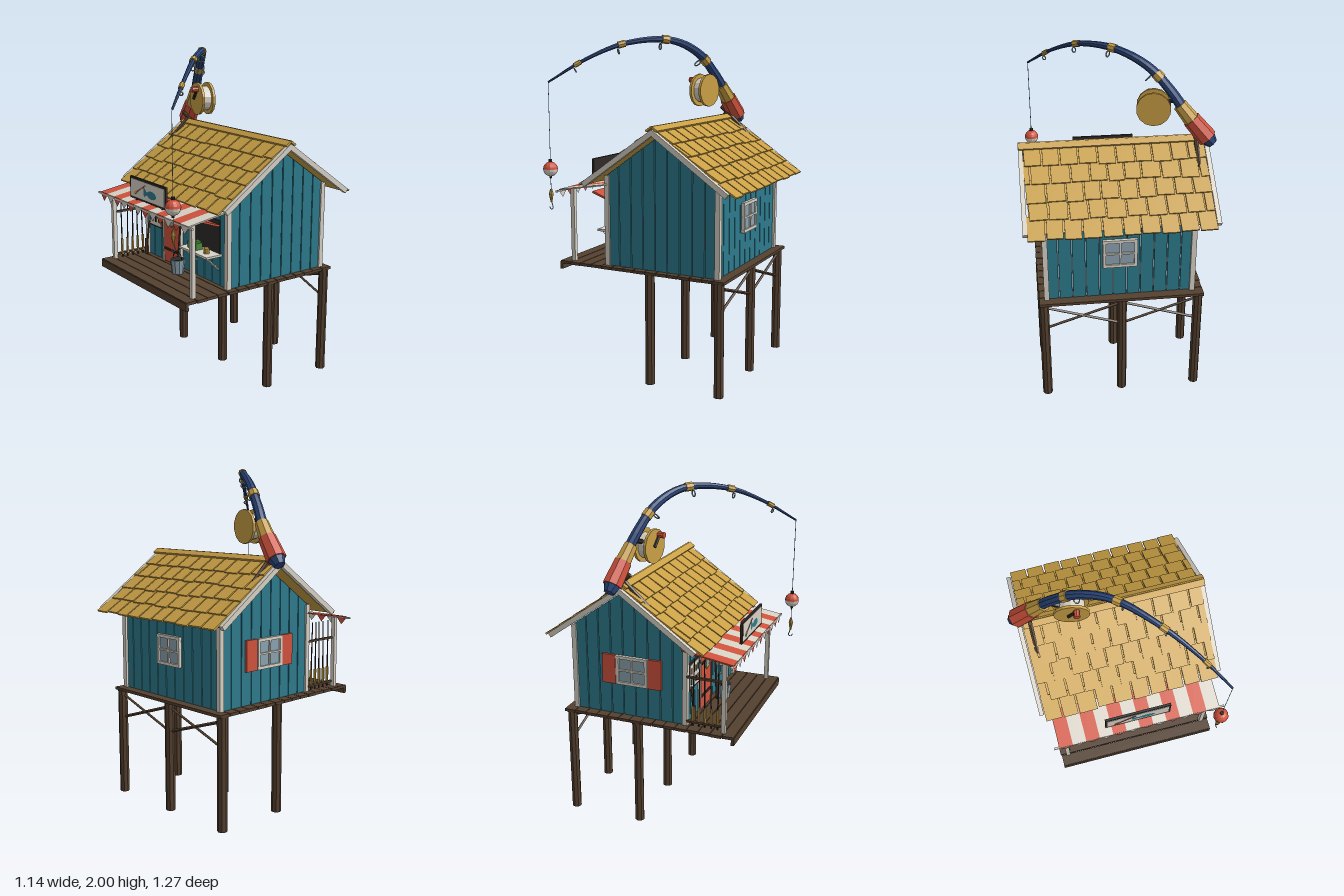
import * as THREE from 'three';

const V = (x, y, z) => new THREE.Vector3(x, y, z);
const paint = (name, hex) => {
  const m = new THREE.MeshStandardMaterial({ color: hex });
  m.name = name;
  return m;
};

export function createModel() {
  const root = new THREE.Group();
  root.name = 'fishingCabin';
  const brown = paint('darkTimber', 0x54402f), teal = paint('tealBoards', 0x2d7a8c);
  const gold = paint('goldenWood', 0xc89f45), red = paint('red', 0xd0523c);
  const white = paint('offWhite', 0xd8d2c6), navy = paint('navyRod', 0x2b4679);
  const slate = paint('paleSlate', 0x8ba3b0), black = paint('charcoal', 0x2e2a27);
  const green = paint('green', 0x4c8a3c);
  white.side = red.side = THREE.DoubleSide;

  let seed = 7;
  const rnd = () => ((seed = (seed * 16807) % 2147483647) / 2147483647) - 0.5;
  const flat = (geo) => {
    const g = geo.index ? geo.toNonIndexed() : geo;
    g.computeVertexNormals();
    return g;
  };
  const add = (name, geo, mat, x = 0, y = 0, z = 0, parent = root) => {
    const m = new THREE.Mesh(geo, mat);
    m.name = name;
    m.position.set(x, y, z);
    parent.add(m);
    return m;
  };
  const box = (name, mat, w, h, d, x, y, z, parent) =>
    add(name, new THREE.BoxGeometry(w, h, d), mat, x, y, z, parent);
  // Round bar from a to b
  const bar = (name, mat, a, b, r, r2 = r, sides = 8, parent = root) => {
    const d = b.clone().sub(a);
    const c = a.clone().add(b).multiplyScalar(0.5);
    const m = add(name, flat(new THREE.CylinderGeometry(r2, r, d.length(), sides)), mat, c.x, c.y, c.z, parent);
    m.quaternion.setFromUnitVectors(V(0, 1, 0), d.normalize());
    return m;
  };
  const poly = (pts) => new THREE.Shape(pts.map((p) => new THREE.Vector2(...p)));
  const slab = (pts, depth) => new THREE.ExtrudeGeometry(poly(pts), { depth, bevelEnabled: false });

  // Stilts and cross braces
  const stiltX = [-0.44, 0.01, 0.465];
  for (const z of [-0.085, -0.52])
    for (const x of stiltX) bar('stilt', brown, V(x, 0, z), V(x, 0.66, z), 0.029, 0.029, 8);
  for (let i = 0; i < 2; i++)
    for (const [y0, y1] of [[0.48, 0.63], [0.63, 0.48]])
      bar('crossBrace', brown, V(stiltX[i], y0, -0.52), V(stiltX[i + 1], y1, -0.52), 0.009, 0.009, 4);

  // Deck
  for (let i = 0; i < 15; i++)
    box('deckPlank', brown, 0.96 + rnd() * 0.012, 0.017, 0.067, 0.01, 0.666, 0.478 - i * 0.0715);
  box('deckFascia', brown, 0.955, 0.045, 0.018, 0.01, 0.646, 0.506);

  // Cabin core and boarded walls
  const ridgeZ = -0.15, slope = 0.705, pitch = Math.atan(slope), cx = 0.02;
  const topAt = (z) => 1.455 - Math.abs(z - ridgeZ) * slope;
  const core = add('cabinCore', slab([[0.49, 0.675], [0.49, topAt(-0.49)], [0.15, 1.455], [-0.19, topAt(0.19)], [-0.19, 0.675]], 0.84), slate, -0.4, 0, 0);
  core.rotation.y = Math.PI / 2;
  const boards = (name, u0, u1, n, top, x, z, ry) => {
    const g = new THREE.Group();
    g.name = name;
    g.position.set(x, 0, z);
    g.rotation.y = ry;
    const w = (u1 - u0) / n;
    for (let i = 0; i < n; i++) {
      const a = u0 + i * w + 0.003, b = a + w - 0.006, m = (a + b) / 2;
      add('board', slab([[a, 0.675], [b, 0.675], [b, top(b)], [m, top(m)], [a, top(a)]], 0.012), teal, 0, 0, 0, g);
    }
    root.add(g);
  };
  boards('rightGable', -0.2, 0.5, 9, (u) => topAt(-u), 0.438, 0, Math.PI / 2);
  boards('leftGable', -0.5, 0.2, 9, topAt, -0.398, 0, -Math.PI / 2);
  boards('frontWall', -0.41, 0.45, 11, () => 1.2, 0, 0.188, 0);
  boards('backWall', -0.45, 0.41, 11, () => 1.2, 0, -0.488, Math.PI);
  for (const x of [-0.405, 0.445])
    for (const z of [0.2, -0.5]) box('cornerTrim', white, 0.03, 0.53, 0.03, x, 0.94, z);

  // Shingled roof, two slopes
  for (const side of [0, 1]) {
    const g = new THREE.Group();
    g.name = side ? 'backRoof' : 'frontRoof';
    g.position.set(0, 1.49, ridgeZ);
    g.rotation.set(pitch, side * Math.PI, 0, 'YXZ');
    root.add(g);
    const dir = side ? -1 : 1;
    box('roofSheet', gold, 1.02, 0.008, 0.54, dir * 0.015, -0.018, 0.275, g);
    for (let r = 0; r < 5; r++) {
      let x = -0.51;
      let w = r % 2 ? 0.055 : 0.105;
      while (x < 0.52) {
        w = Math.min(w, 0.54 - x);
        const s = box('shingle', gold, w - 0.009, 0.011, 0.15, dir * (x + w / 2), 0.002, 0.068 + r * 0.112 + rnd() * 0.014, g);
        s.rotation.set(-0.07, rnd() * 0.05, 0);
        x += w;
        w = 0.105 + rnd() * 0.02;
      }
    }
    for (const x of [-0.522, 0.548]) box('bargeBoard', white, 0.026, 0.03, 0.555, dir * x, -0.012, 0.278, g);
    box('ridgeCap', gold, 1.06, 0.012, 0.04, dir * 0.03, 0.014, 0.012, g);
  }

  // Windows: back, and left side with shutters
  const windowUnit = (name, x, y, z, ry, shutters) => {
    const g = new THREE.Group();
    g.name = name;
    g.position.set(x, y, z);
    g.rotation.y = ry;
    root.add(g);
    box('glass', slate, 0.18, 0.16, 0.008, 0, 0, 0, g);
    for (const s of [-1, 0, 1]) {
      const t = s ? 0.018 : 0.01;
      box('windowUpright', white, t, 0.17, 0.02, s * 0.09, 0, 0.004, g);
      box('windowRail', white, 0.2, t, 0.02, 0, s * 0.08, 0.004, g);
      if (s && shutters) box('shutter', red, 0.085, 0.18, 0.014, s * 0.145, 0, 0.004, g);
    }
  };
  windowUnit('backWindow', 0.02, 0.96, -0.505, Math.PI, false);
  windowUnit('leftWindow', -0.415, 0.96, -0.13, -Math.PI / 2, true);

  // Door
  box('door', red, 0.17, 0.385, 0.016, -0.11, 0.873, 0.208);
  for (const x of [-0.203, -0.017]) box('doorTrim', white, 0.015, 0.4, 0.022, x, 0.877, 0.208);
  for (const y of [0.765, 0.975]) box('hingeStrap', black, 0.15, 0.013, 0.008, -0.115, y, 0.219);
  const port = add('porthole', flat(new THREE.CylinderGeometry(0.028, 0.028, 0.008, 12)), slate, -0.105, 0.95, 0.222);
  port.rotation.x = Math.PI / 2;
  add('portholeRim', new THREE.TorusGeometry(0.029, 0.005, 6, 14), gold, -0.105, 0.95, 0.223);

  // Serving hatch with raised flap, counter and goods
  box('hatchOpening', black, 0.24, 0.2, 0.008, 0.255, 0.965, 0.203);
  const flap = box('hatchFlap', red, 0.24, 0.012, 0.15, 0.255, 1.06, 0.28);
  flap.rotation.x = -0.35;
  box('counter', white, 0.28, 0.013, 0.11, 0.25, 0.862, 0.255);
  for (const x of [0.14, 0.36]) bar('counterBrace', white, V(x, 0.77, 0.203), V(x, 0.858, 0.295), 0.006, 0.006, 4);
  box('tackleBox', green, 0.085, 0.04, 0.045, 0.205, 0.889, 0.26);
  box('tackleLid', green, 0.07, 0.012, 0.035, 0.205, 0.915, 0.26);
  add('tackleHandle', new THREE.TorusGeometry(0.014, 0.003, 5, 10, Math.PI), black, 0.205, 0.92, 0.26);
  bar('baitTin', gold, V(0.32, 0.868, 0.26), V(0.32, 0.9, 0.26), 0.018);

  // Lure board
  box('lureBoardFrame', black, 0.165, 0.165, 0.012, -0.305, 0.957, 0.208);
  box('lureBoard', white, 0.145, 0.145, 0.008, -0.305, 0.957, 0.213);
  for (let i = 0; i < 8; i++)
    box('lure', [red, teal, gold, black][(i * 3 + (i >> 2)) % 4], 0.01, 0.034, 0.006, -0.356 + (i % 4) * 0.034, 0.99 - (i >> 2) * 0.065, 0.219);

  // Landing net, bucket, oar
  add('netHoop', new THREE.TorusGeometry(0.048, 0.006, 6, 18), black, 0.015, 1.03, 0.23);
  bar('netHandle', brown, V(0.012, 0.985, 0.23), V(0, 0.68, 0.25), 0.007, 0.007, 6);
  bar('bucket', slate, V(0.05, 0.677, 0.28), V(0.05, 0.765, 0.28), 0.035, 0.046, 10);
  bar('bucketWater', black, V(0.05, 0.764, 0.28), V(0.05, 0.767, 0.28), 0.04, 0.04, 10);
  add('bucketHandle', new THREE.TorusGeometry(0.045, 0.003, 5, 12, Math.PI), black, 0.05, 0.768, 0.28);
  bar('oarShaft', brown, V(-0.37, 0.72, 0.24), V(-0.365, 0.9, 0.22), 0.007, 0.007, 6);
  box('oarBlade', brown, 0.03, 0.1, 0.01, -0.37, 0.73, 0.24);

  // Porch posts and rod rack
  for (const x of [-0.425, 0.443]) box('porchPost', white, 0.025, 0.435, 0.025, x, 0.89, 0.44);
  for (const y of [0.705, 0.98]) box('rackRail', brown, 0.016, 0.012, 0.22, -0.415, y, 0.32);
  for (let i = 0; i < 5; i++) {
    const z = 0.245 + i * 0.038;
    bar('rackRod', black, V(-0.41, 0.68, z), V(-0.41, 1.09, z + rnd() * 0.02), 0.005, 0.003, 5);
    bar('rackRodGrip', gold, V(-0.41, 0.7, z), V(-0.41, 0.8, z), 0.009, 0.008, 6);
  }

  // Striped awning with pointed valance
  const awning = new THREE.Group();
  awning.name = 'awning';
  root.add(awning);
  const sw = 0.97 / 12;
  for (let i = 0; i < 12; i++) {
    const x = -0.47 + sw * (i + 0.5), m = i % 2 ? white : red;
    const s = box('awningStripe', m, sw, 0.008, 0.31, x, 1.13, 0.35, awning);
    s.rotation.x = 0.16;
    add('valancePoint', new THREE.ShapeGeometry(poly([[-sw / 2, 0], [0, -0.045], [sw / 2, 0]])), m, x, 1.1, 0.503, awning);
  }
  box('awningRail', white, 1.03, 0.01, 0.012, 0.015, 1.1, 0.499, awning);

  // Fish sign
  const sign = new THREE.Group();
  sign.name = 'fishSign';
  sign.position.set(0.013, 1.193, 0.452);
  root.add(sign);
  box('signFrame', black, 0.39, 0.13, 0.014, 0, 0, 0, sign);
  box('signPanel', white, 0.365, 0.106, 0.008, 0, 0, 0.005, sign);
  for (const x of [-0.14, 0.14]) box('signBracket', black, 0.012, 0.06, 0.02, x, -0.05, -0.012, sign);
  const fish = add('paintedFish', new THREE.CircleGeometry(0.05, 16), teal, 0.05, -0.01, 0.0105, sign);
  fish.scale.set(1, 0.48, 1);
  add('paintedTail', new THREE.ShapeGeometry(poly([[0.012, -0.008], [-0.04, 0.036], [-0.034, -0.03]])), teal, 0, -0.004, 0.0107, sign);
  const pole = box('paintedPole', red, 0.13, 0.006, 0.003, -0.075, 0.005, 0.011, sign);
  pole.rotation.z = 0.5;
  box('paintedGrip', gold, 0.03, 0.014, 0.004, -0.125, -0.023, 0.011, sign).rotation.z = 0.5;

  // Giant rod: tapered tube along a curve
  const path = new THREE.CatmullRomCurve3([V(-0.46, 1.575, -0.175), V(-0.39, 1.665, -0.155), V(-0.325, 1.76, -0.125), V(-0.2, 1.895, -0.065),
    V(-0.03, 1.972, 0.04), V(0.17, 1.952, 0.235), V(0.33, 1.86, 0.41), V(0.47, 1.73, 0.58)]);
  const N = 32, sides = 8;
  const radius = (t) => 0.034 - 0.028 * t;
  const tube = new THREE.TubeGeometry(path, N, 1, sides);
  const pos = tube.attributes.position;
  for (let i = 0; i < pos.count; i++) {
    const t = Math.floor(i / (sides + 1)) / N, c = path.getPointAt(t);
    const p = V(0, 0, 0).fromBufferAttribute(pos, i).sub(c).multiplyScalar(radius(t)).add(c);
    pos.setXYZ(i, p.x, p.y, p.z);
  }
  add('rodBlank', flat(tube), navy);
  bar('rodButt', navy, V(-0.555, 1.468, -0.195), V(-0.515, 1.512, -0.186), 0.032, 0.056);
  bar('rodGrip', red, V(-0.525, 1.5, -0.188), V(-0.43, 1.612, -0.165), 0.058, 0.052);
  bar('reelSeat', gold, V(-0.432, 1.61, -0.166), V(-0.365, 1.695, -0.144), 0.047, 0.04);
  for (const t of [0.25, 0.47, 0.66, 0.86]) {
    const p = path.getPointAt(t), d = path.getTangentAt(t), r = radius(t) + 0.005;
    bar('rodWrap', gold, p.clone().addScaledVector(d, -0.022), p.clone().addScaledVector(d, 0.022), r, r);
    const down = V(0, -1, 0).addScaledVector(d, d.y).normalize();
    const gr = 0.026 - 0.017 * t;
    const q = p.clone().addScaledVector(d, 0.03).addScaledVector(down, r + gr);
    const ring = add('lineGuide', new THREE.TorusGeometry(gr, 0.004, 6, 12), slate, q.x, q.y, q.z);
    ring.quaternion.setFromUnitVectors(V(0, 0, 1), d);
  }

  // Reel
  const reel = new THREE.Group();
  reel.name = 'reel';
  reel.position.set(-0.225, 1.668, -0.09);
  reel.rotation.y = -0.18;
  root.add(reel);
  bar('spool', white, V(0, 0, -0.04), V(0, 0, 0.03), 0.075, 0.075, 14, reel);
  for (const z of [-0.042, 0.028]) bar('reelPlate', gold, V(0, 0, z - 0.008), V(0, 0, z + 0.008), 0.1, 0.1, 14, reel);
  bar('crank', black, V(-0.02, 0, 0.045), V(0.03, 0.06, 0.045), 0.01, 0.01, 6, reel);
  bar('crankKnob', red, V(0.028, 0.062, 0.04), V(0.028, 0.062, 0.08), 0.018, 0.018, 8, reel);
  bar('reelFoot', black, V(-0.345, 1.72, -0.135), V(-0.25, 1.69, -0.1), 0.014, 0.014, 6);

  // Crossed cradle holding the rod on the ridge
  for (const s of [-1, 1])
    bar('rodCradle', brown, V(-0.46, 1.38, ridgeZ + s * 0.15), V(-0.46, 1.555, ridgeZ - s * 0.04), 0.014, 0.014, 6);

  // Line, float, lure and hook
  const lx = 0.47, lz = 0.58;
  bar('line', slate, V(lx, 1.73, lz), V(lx, 1.03, lz), 0.002, 0.002, 4);
  add('floatTop', flat(new THREE.SphereGeometry(0.044, 12, 5, 0, Math.PI * 2, 0, Math.PI / 2)), red, lx, 1.22, lz);
  add('floatBase', flat(new THREE.SphereGeometry(0.044, 12, 5, 0, Math.PI * 2, Math.PI / 2, Math.PI / 2)), white, lx, 1.22, lz);
  bar('floatCap', black, V(lx, 1.255, lz), V(lx, 1.278, lz), 0.011);
  bar('floatPeg', black, V(lx, 1.165, lz), V(lx, 1.182, lz), 0.008);
  bar('lureUpper', gold, V(lx, 1.07, lz), V(lx, 1.1, lz), 0.014, 0.006);
  bar('lureLower', gold, V(lx, 1.02, lz), V(lx, 1.07, lz), 0.005, 0.014);
  const hook = add('hook', new THREE.TorusGeometry(0.012, 0.003, 5, 10, Math.PI * 1.4), slate, lx, 0.99, lz);
  hook.rotation.set(0, Math.PI / 2, Math.PI * 0.9);
  bar('hookShank', slate, V(lx, 0.99, lz - 0.012), V(lx, 1.025, lz), 0.003, 0.003, 5);

  return root;
}
